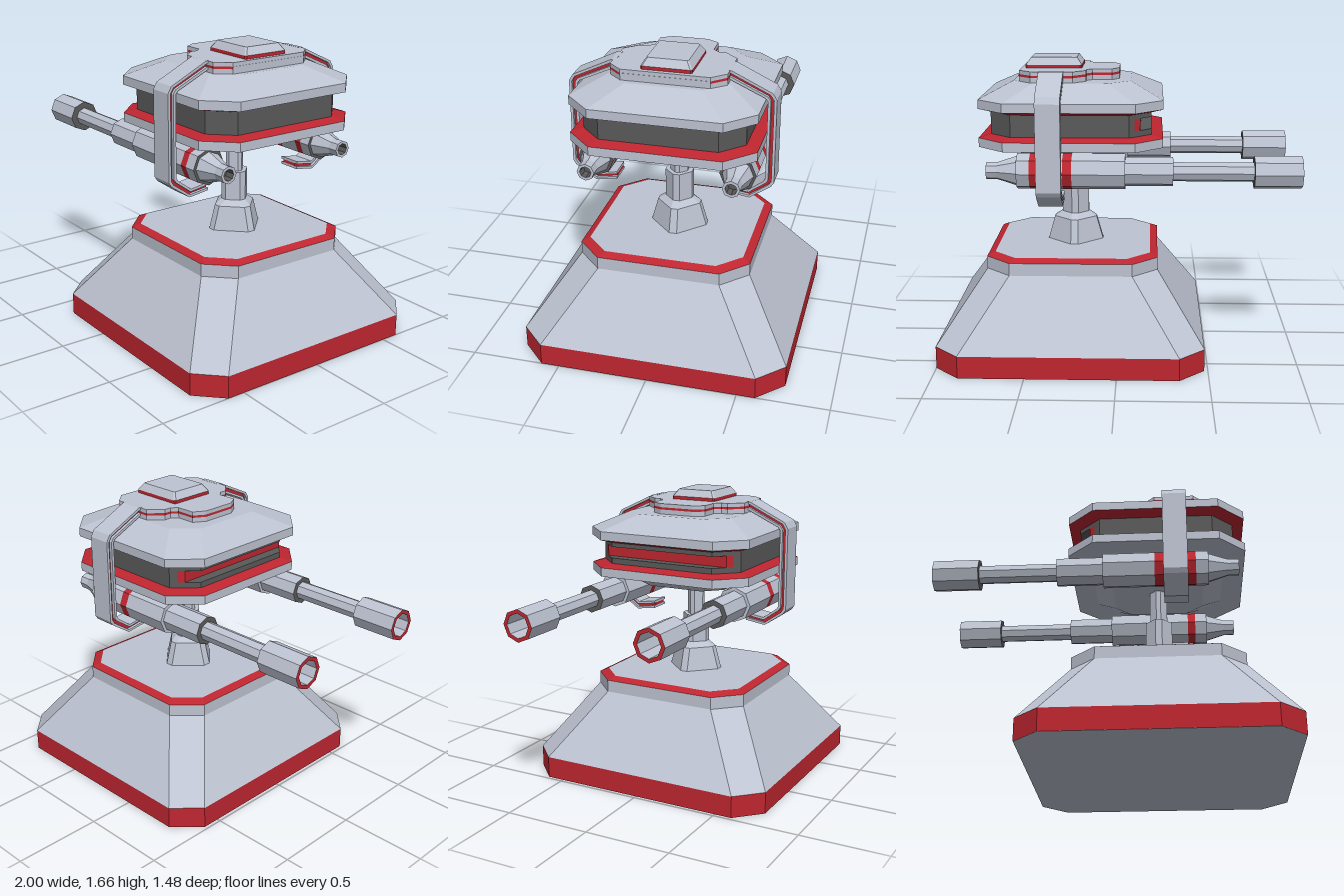
import * as THREE from 'three';

const CX = 0.26; // axis of base, post and head

export function createModel() {
  const model = new THREE.Group();
  const mat = (name, color) => {
    const m = new THREE.MeshStandardMaterial({ color });
    m.name = name;
    return m;
  };
  const grey = mat('hull grey', 0xbdc3d1);
  const red = mat('trim red', 0xbf2630);
  const dark = mat('band dark grey', 0x5a5a5a);

  const add = (name, geometry, material, parent = model) => {
    const mesh = new THREE.Mesh(geometry, material);
    mesh.name = name;
    parent.add(mesh);
    return mesh;
  };
  const facet = (geometry) => {
    const g = geometry.index ? geometry.toNonIndexed() : geometry;
    g.deleteAttribute('normal');
    g.computeVertexNormals();
    return g;
  };

  // Chamfered square section: half width h, corner cut c, height y
  const ring = ([y, h, c]) => {
    const k = h - c;
    return [[h, k], [h, -k], [k, -h], [-k, -h], [-h, -k], [-h, k], [-k, h], [k, h]]
      .map(([x, z]) => [CX + x, y, z]);
  };
  // Loft through chamfered squares [y, h, c] from bottom to top
  const loft = (sections, capBottom = false, capTop = false) => {
    const rings = sections.map(ring);
    const pos = [];
    const tri = (a, b, c) => pos.push(...a, ...b, ...c);
    for (let r = 0; r + 1 < rings.length; r++) {
      for (let i = 0; i < 8; i++) {
        const j = (i + 1) % 8, lo = rings[r], hi = rings[r + 1];
        tri(lo[i], lo[j], hi[j]);
        tri(lo[i], hi[j], hi[i]);
      }
    }
    const bottom = rings[0], top = rings[rings.length - 1];
    for (let i = 1; i < 7; i++) {
      if (capBottom) tri(bottom[0], bottom[i + 1], bottom[i]);
      if (capTop) tri(top[0], top[i], top[i + 1]);
    }
    const g = new THREE.BufferGeometry();
    g.setAttribute('position', new THREE.Float32BufferAttribute(pos, 3));
    return facet(g);
  };
  // Flat outline in (x, z) raised from y0 to y1
  const slab = (outline, y0, y1) => {
    const shape = new THREE.Shape(outline.map(([x, z]) => new THREE.Vector2(x, -z)));
    return new THREE.ExtrudeGeometry(shape, { depth: y1 - y0, bevelEnabled: false })
      .rotateX(-Math.PI / 2).translate(0, y0, 0);
  };
  // Mirror half an outline across z = 0
  const mirrored = (half) => [...half, ...half.map(([x, z]) => [x, -z]).reverse()];
  const centred = (outline) => outline.map(([x, z]) => [x + CX, z]);

  // Base
  add('baseUnderside', loft([[0, 0.739, 0.14], [0.002, 0.739, 0.14]], true), grey);
  add('baseSkirt', loft([[0, 0.74, 0.14], [0.125, 0.74, 0.14]]), red);
  add('baseBody', loft([[0.125, 0.74, 0.14], [0.5, 0.48, 0.14], [0.57, 0.48, 0.14]]), grey);
  add('baseRim', loft([[0.57, 0.48, 0.14], [0.59, 0.437, 0.125]]), red);
  add('baseTop', loft([[0.585, 0.437, 0.125], [0.59, 0.437, 0.125]], false, true), grey);

  // Stepped post, set cornerwise with clipped corners
  add('post', loft([
    [0.59, 0.16, 0.138], [0.725, 0.122, 0.102], [0.755, 0.077, 0.058], [0.92, 0.077, 0.058],
    [0.92, 0.05, 0.037], [1.13, 0.05, 0.037],
  ]), grey);

  // Head: two discs with red inner faces and a dark band between
  add('headLower', loft([
    [1.12, 0.265, 0.1], [1.2, 0.38, 0.12], [1.2, 0.505, 0.15], [1.25, 0.505, 0.15],
  ], true), grey);
  add('lowerTrim', loft([[1.25, 0.505, 0.15], [1.268, 0.44, 0.12]]), red);
  add('bandLower', loft([[1.26, 0.44, 0.12], [1.3, 0.44, 0.12]], false, true), dark);
  add('bandUpper', loft([[1.365, 0.44, 0.12], [1.4, 0.44, 0.12]], true), dark);
  add('upperTrim', loft([[1.39, 0.44, 0.12], [1.41, 0.505, 0.15]]), red);
  add('headUpper', loft([
    [1.41, 0.505, 0.15], [1.46, 0.505, 0.15], [1.547, 0.325, 0.12],
  ], false, true), grey);

  // Band core, cut back at -x to leave a slot with a red visor inside
  const core = mirrored([[-0.35, 0.41], [-0.32, 0.44], [0.32, 0.44], [0.44, 0.32]]);
  add('bandCore', slab(centred(core), 1.3, 1.365), dark);
  const visor = mirrored([[-0.38, 0.38], [-0.35, 0.41]]);
  add('visor', slab(centred(visor), 1.3, 1.365), red);

  // Roof plate with red seam, closed by a grey strip at the +x edge
  const roof = mirrored([
    [0, 0.1], [0.04, 0.165], [0.15, 0.165], [0.18, 0.2], [0.18, 0.24],
    [0.25, 0.315], [0.48, 0.315], [0.55, 0.24],
  ]);
  add('roofPlateLower', slab(roof, 1.545, 1.573), grey);
  add('roofSeam', slab(roof, 1.573, 1.586), red);
  add('roofPlateUpper', slab(roof, 1.586, 1.607), grey);
  add('roofSeamCover', slab(mirrored([[0.545, 0.24], [0.552, 0.24]]), 1.573, 1.586), grey);

  // Roof hatch, slightly longer than wide
  const hatch = (sections, top) => loft(sections, false, top)
    .translate(-CX, 0, 0).scale(1.15, 1, 1).translate(0.367, 0, 0);
  add('hatchTrim', hatch([[1.607, 0.137, 0.008], [1.625, 0.137, 0.008]]), red);
  add('hatch', hatch([[1.625, 0.137, 0.008], [1.665, 0.112, 0.008]], true), grey);

  // Bent side arms, outer and inner edges in (z, y)
  const outer = [[0.3, 1.608], [0.325, 1.608], [0.545, 1.503], [0.566, 1.467],
    [0.566, 0.99], [0.55, 0.965], [0.434, 0.885], [0.314, 0.902]];
  const inner = [[0.3, 1.56], [0.315, 1.56], [0.505, 1.473], [0.518, 1.455],
    [0.518, 1.008], [0.508, 0.992], [0.425, 0.93], [0.314, 0.947]];
  const armStrip = (s, t0, t1, x0, x1) => {
    const edge = (t) => outer.map(([z, y], i) => new THREE.Vector2(
      -s * (z + (inner[i][0] - z) * t), y + (inner[i][1] - y) * t));
    const shape = new THREE.Shape([...edge(t0), ...edge(t1).reverse()]);
    return new THREE.ExtrudeGeometry(shape, { depth: x1 - x0, bevelEnabled: false })
      .rotateY(Math.PI / 2).translate(x0, 0, 0);
  };

  // Guns, eight-sided, muzzle toward -x; profiles are [radius, x]
  const turned = (profile) => facet(new THREE.LatheGeometry(
    profile.map(([r, x]) => new THREE.Vector2(r, x)), 8)).rotateZ(-Math.PI / 2);
  const gunParts = [
    ['muzzleBore', grey, [[0, -0.8], [0.068, -0.8], [0.068, -1]]],
    ['muzzleRim', red, [[0.068, -1], [0.09, -1]]],
    ['muzzle', grey, [[0.09, -1], [0.09, -0.74]]],
    ['muzzleStep', dark, [[0.09, -0.74], [0.053, -0.74]]],
    ['barrel', grey, [[0.053, -0.74], [0.053, -0.3]]],
    ['sleeveStep', dark, [[0.053, -0.3], [0.081, -0.3]]],
    ['sleeve', grey, [[0.081, -0.3], [0.081, -0.04], [0.1, -0.04], [0.1, 0.25]]],
    ['frontBand', red, [[0.1, 0.25], [0.1, 0.3]]],
    ['gunBody', grey, [[0.1, 0.3], [0.1, 0.435]]],
    ['rearBand', red, [[0.1, 0.435], [0.1, 0.48]]],
    ['gunRear', grey, [[0.1, 0.48], [0.1, 0.55]]],
    ['rearStep', dark, [[0.1, 0.55], [0.084, 0.55]]],
    ['gunTail', grey, [[0.084, 0.55], [0.048, 0.66], [0.048, 0.72], [0.032, 0.72]]],
    ['tailBore', dark, [[0.032, 0.72], [0.032, 0.66], [0, 0.66]]],
  ];

  for (const s of [1, -1]) {
    const side = s > 0 ? 'front' : 'back';
    // Arm edges stand proud of a recessed red groove
    const arm = new THREE.Group();
    arm.name = side + 'Arm';
    add('armOuter', armStrip(s, 0, 0.32, 0.3, 0.435), grey, arm);
    add('armInner', armStrip(s, 0.68, 1, 0.3, 0.435), grey, arm);
    add('armGroove', armStrip(s, 0.32, 0.68, 0.318, 0.417), red, arm);
    model.add(arm);

    const gun = new THREE.Group();
    gun.name = side + 'Gun';
    gun.position.set(0, 1.075, 0.392 * s);
    for (const [name, material, profile] of gunParts) add(name, turned(profile), material, gun);
    model.add(gun);
  }
  return model;
}
